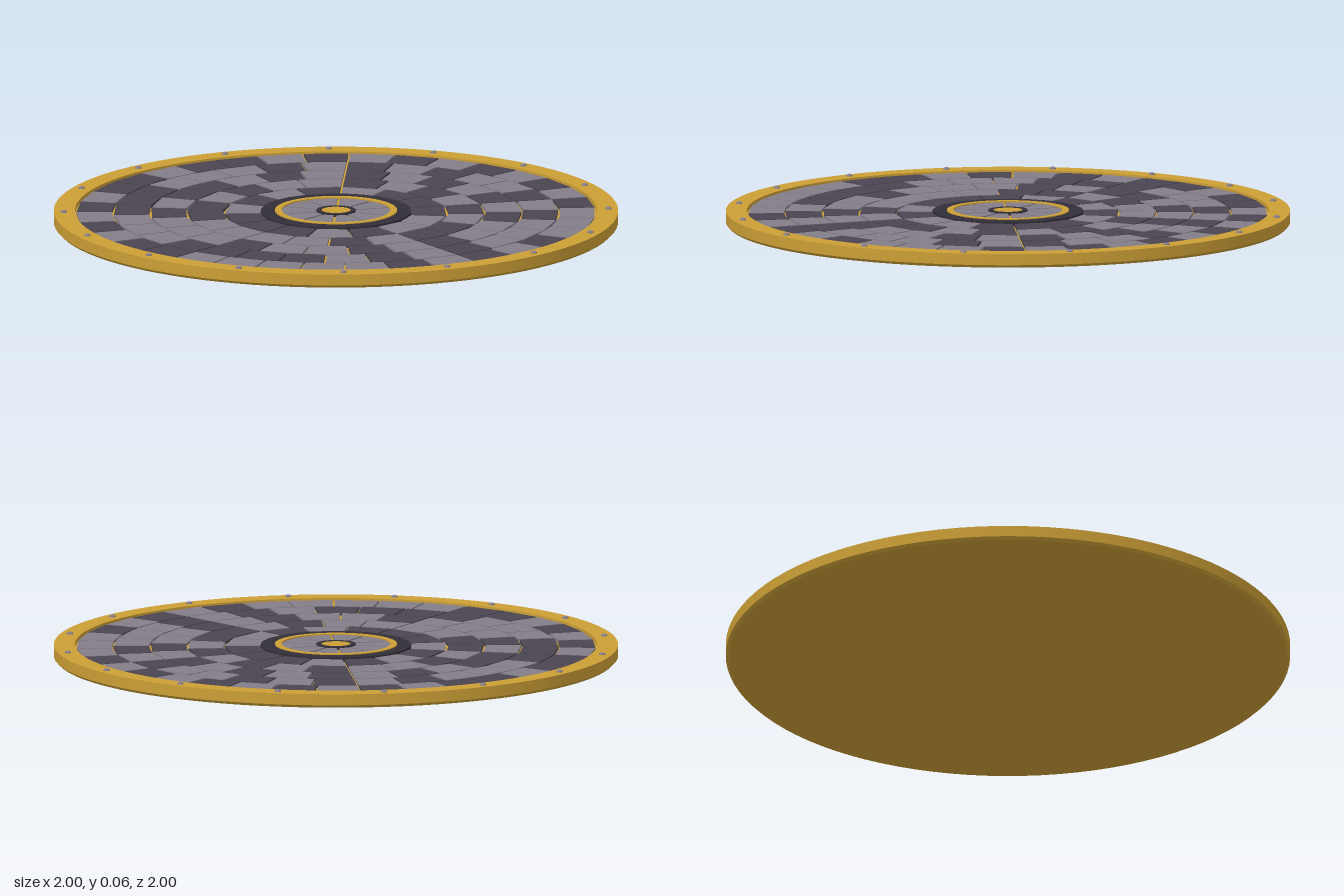
import * as THREE from 'three';
import { mergeGeometries } from 'three/addons/utils/BufferGeometryUtils.js';

const paint = (color) => new THREE.MeshStandardMaterial({ color });
const gold = paint(0xcc9f36);
const darkStone = paint(0x4a4550);
const lightStone = paint(0x847d88);
const darkMetal = paint(0x322e38);
const TAU = Math.PI * 2;

// small seeded generator
function seeded(seed) {
  let s = seed;
  return () => {
    s = (s * 16807) % 2147483647;
    return s / 2147483647;
  };
}

function addMesh(parent, name, geometry, material) {
  const mesh = new THREE.Mesh(geometry, material);
  mesh.name = name;
  parent.add(mesh);
  return mesh;
}

// sharp-edged ring or disc turned from [radius, height] points
function turned(points, segments) {
  const strips = [];
  for (let i = 0; i < points.length - 1; i++) {
    const pair = [points[i], points[i + 1]].map(([r, y]) => new THREE.Vector2(r, y));
    strips.push(new THREE.LatheGeometry(pair, segments));
  }
  return mergeGeometries(strips);
}

// slab between two radii and two angles, with even gaps beside its neighbours
function slab(r0, r1, a0, a1, y0, y1, gap, arcSteps = 1) {
  const point = (r, a) => new THREE.Vector2(r * Math.cos(a), r * Math.sin(a));
  const outline = [];
  for (const [r, from, to] of [[r0, a1, a0], [r1, a0, a1]]) {
    const inset = (gap / 2 / r) * Math.sign(to - from);
    for (let i = 0; i <= arcSteps; i++) {
      outline.push(point(r, THREE.MathUtils.lerp(from + inset, to - inset, i / arcSteps)));
    }
  }
  const geometry = new THREE.ExtrudeGeometry(new THREE.Shape(outline), { depth: y1 - y0, bevelEnabled: false });
  return geometry.rotateX(-Math.PI / 2).translate(0, y0, 0);
}

export function createModel() {
  const model = new THREE.Group();
  model.name = 'roundTiledDisc';

  // base plate with a raised rim around a shallow recess
  addMesh(model, 'basePlate', turned([
    [0, 0], [0.99, 0], [1, 0.01], [1, 0.05], [0.925, 0.05], [0.925, 0.034], [0, 0.034],
  ], 96), gold);

  // five rings of straight-sided tiles, every second ring shifted by half a tile
  const rings = new THREE.Group();
  rings.name = 'tileRings';
  model.add(rings);
  const random = seeded(4211);
  for (let row = 0; row < 5; row++) {
    const count = 15 + row * 5;
    const step = TAU / count;
    const shift = row % 2 ? 0 : -0.5;
    const inner = 0.271 + row * 0.131;
    const tiles = { light: [], dark: [] };
    let isDark = false;
    for (let i = 0; i < count; i++) {
      const a = (i + shift) * step;
      tiles[isDark ? 'dark' : 'light'].push(slab(inner, inner + 0.124, a, a + step, 0.03, 0.044, 0.008));
      if (random() < (isDark ? 0.75 : 0.6)) isDark = !isDark;
    }
    addMesh(rings, `lightTiles${row + 1}`, mergeGeometries(tiles.light), lightStone);
    addMesh(rings, `darkTiles${row + 1}`, mergeGeometries(tiles.dark), darkStone);
  }

  // hub: dark collar, gold ring, ten wedges and a centre cap
  const hub = new THREE.Group();
  hub.name = 'hub';
  model.add(hub);
  addMesh(hub, 'collar', turned([[0.268, 0.03], [0.268, 0.05], [0.21, 0.05], [0.21, 0.03]], 24), darkMetal);
  addMesh(hub, 'hubRing', turned([[0.217, 0.03], [0.217, 0.053], [0.193, 0.053], [0.193, 0.03]], 48), gold);
  addMesh(hub, 'hubFloor', turned([[0.2, 0.042], [0, 0.042]], 48), gold);
  const wedges = [];
  for (let i = 0; i < 10; i++) {
    wedges.push(slab(0.07, 0.194, (i * TAU) / 10, ((i + 1) * TAU) / 10, 0.035, 0.049, 0.01, 5));
  }
  addMesh(hub, 'hubWedges', mergeGeometries(wedges), lightStone);
  addMesh(hub, 'capRing', turned([[0.07, 0.035], [0.07, 0.053], [0.052, 0.053], [0.052, 0.035]], 32), darkMetal);
  addMesh(hub, 'centreCap', turned([[0.053, 0.035], [0.053, 0.052], [0, 0.052]], 32), gold);

  // sixteen domed rivets on the rim
  const rivets = new THREE.Group();
  rivets.name = 'rimRivets';
  model.add(rivets);
  const dome = new THREE.SphereGeometry(0.012, 12, 6, 0, TAU, 0, Math.PI / 2).scale(1, 0.7, 1);
  for (let i = 0; i < 16; i++) {
    const a = (i * TAU) / 16;
    addMesh(rivets, 'rivet', dome, lightStone).position.set(0.965 * Math.cos(a), 0.05, 0.965 * Math.sin(a));
  }
  return model;
}
